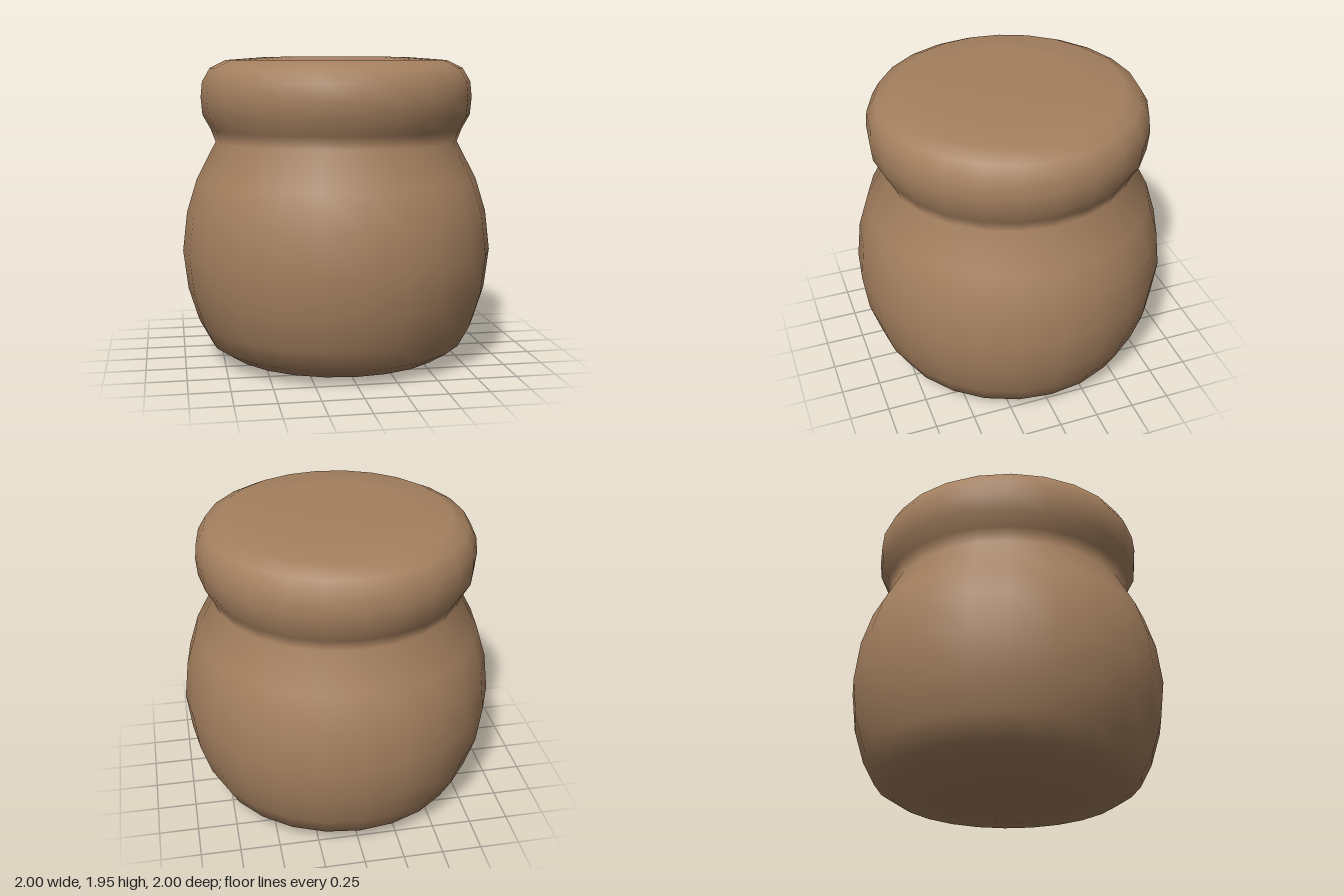
import * as THREE from 'three';

const clay = new THREE.MeshStandardMaterial({ color: 0xa5805f });
clay.name = 'brown clay';

export function createModel() {
  const group = new THREE.Group();
  group.name = 'jar';

  // Profile from the base centre, up the belly, in at the neck and over the lid
  const profile = [
    [0, 0], [0.47, 0.005], [0.72, 0.04], [0.83, 0.11], [0.905, 0.25],
    [0.97, 0.46], [1, 0.71], [0.97, 0.96], [0.905, 1.17],
    [0.78, 1.41], [0.81, 1.49], [0.86, 1.58], [0.87, 1.69],
    [0.86, 1.79], [0.81, 1.875], [0.71, 1.925], [0.44, 1.945], [0, 1.945],
  ].map(([r, y]) => new THREE.Vector2(r, y));

  // One smooth turned body with its bulging lid
  const body = new THREE.Mesh(new THREE.LatheGeometry(profile, 24), clay);
  body.name = 'jarBodyAndLid';
  group.add(body);

  return group;
}
